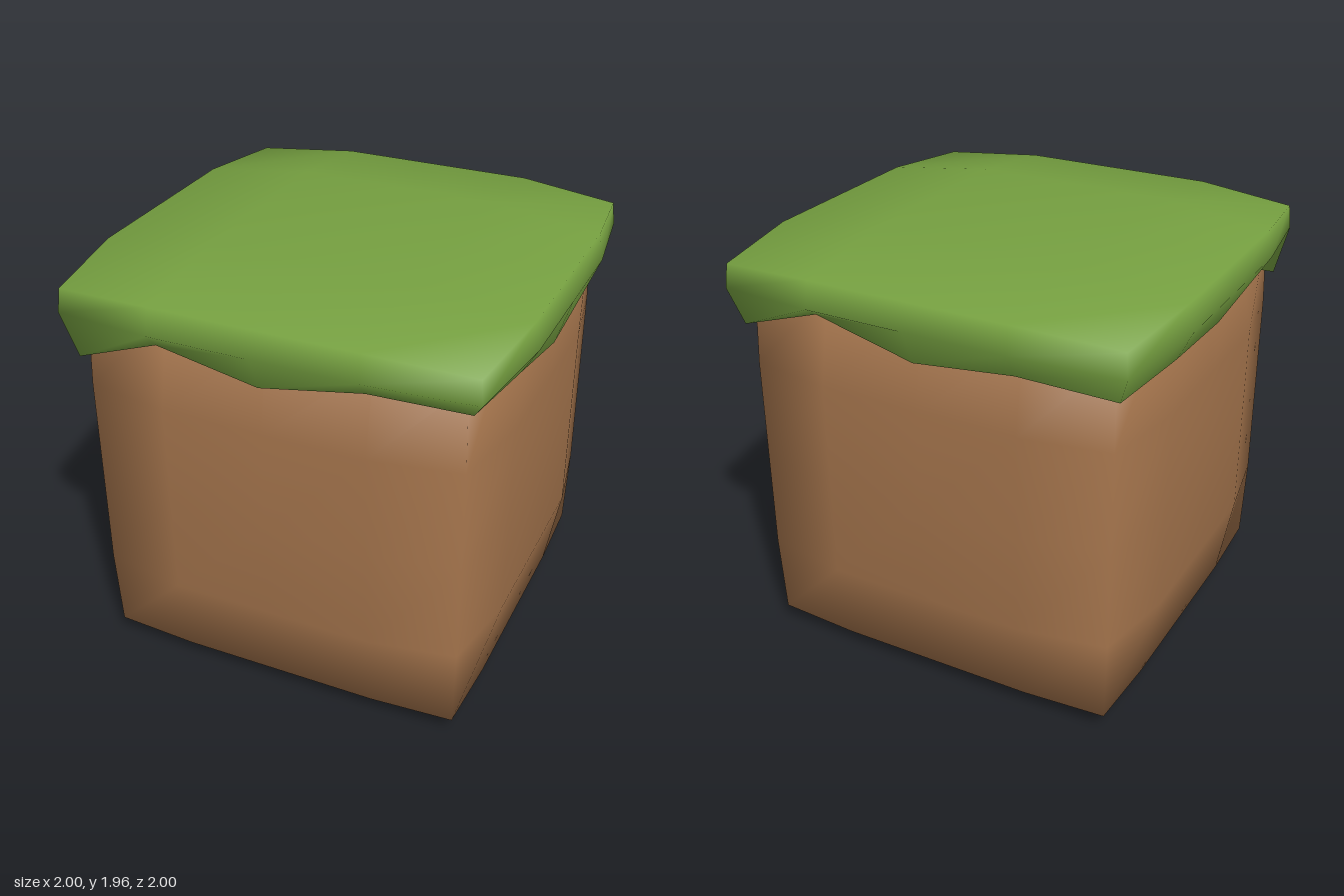
import * as THREE from 'three';
import { mergeVertices } from 'three/addons/utils/BufferGeometryUtils.js';

// Weld a box grid so it shades smoothly, then move each vertex by a rule
function shapedBox(ySegments, rule, dropBottom) {
  const box = new THREE.BoxGeometry(2, 2, 2, 4, ySegments, 4);
  if (dropBottom) {
    const g = box.groups[3];
    const index = Array.from(box.index.array);
    index.splice(g.start, g.count);
    box.setIndex(index);
  }
  box.clearGroups();
  box.deleteAttribute('normal');
  box.deleteAttribute('uv');
  const geo = mergeVertices(box);
  const pos = geo.attributes.position;
  for (let i = 0; i < pos.count; i++) {
    pos.setXYZ(i, ...rule(pos.getX(i), pos.getY(i), pos.getZ(i)));
  }
  geo.computeVertexNormals();
  return geo;
}

const isEnd = (v) => Math.abs(v) > 0.99;

// Soil: faces bulge, edges and corners are pulled in
function soilRule(x, y, z) {
  const ends = [x, y, z].filter(isEnd).length;
  const reach = [0, 0.927, 0.857, 0.845][ends];
  const put = (v) => (isEnd(v) ? Math.sign(v) * reach : v * 0.927);
  return [put(x), 0.933 + put(y), put(z)];
}

// Hem heights of the turf on each side, at -1, -0.5, 0, 0.5, 1
const hem = {
  front: [1.54, 1.71, 1.62, 1.705, 1.685],
  back: [1.635, 1.67, 1.62, 1.735, 1.585],
  right: [1.585, 1.705, 1.575, 1.67, 1.685],
  left: [1.635, 1.65, 1.63, 1.71, 1.54],
};

function hemHeight(x, z) {
  const at = (v) => Math.round((v + 1) * 2);
  if (isEnd(z)) return (z > 0 ? hem.front : hem.back)[at(x)];
  return (x > 0 ? hem.right : hem.left)[at(z)];
}

// Turf: domed top, widest ring below the rim, ragged hem tucked inwards
function turfRule(x, y, z) {
  const ends = [x, z].filter(isEnd).length;
  const corner = ends === 2;
  let reach, height;
  if (y > 0.5) {
    reach = corner ? 0.922 : 0.978;
    height = [1.965, 1.9, 1.868][ends];
  } else if (y > -0.5) {
    reach = corner ? 0.932 : 1;
    height = corner ? 1.76 : 1.78;
  } else {
    reach = corner ? 0.885 : 0.935;
    height = hemHeight(x, z);
  }
  const put = (v) => (isEnd(v) ? Math.sign(v) * reach : v * 0.925);
  return [put(x), height, put(z)];
}

export function createModel() {
  const soilBrown = new THREE.MeshStandardMaterial({ name: 'soilBrown', color: 0xa4744c });
  const grassGreen = new THREE.MeshStandardMaterial({
    name: 'grassGreen', color: 0x759f40, side: THREE.DoubleSide,
  });

  const group = new THREE.Group();
  group.name = 'grassBlock';

  const soil = new THREE.Mesh(shapedBox(4, soilRule, false), soilBrown);
  soil.name = 'soil';
  const turf = new THREE.Mesh(shapedBox(2, turfRule, true), grassGreen);
  turf.name = 'turf';

  group.add(soil, turf);
  return group;
}
